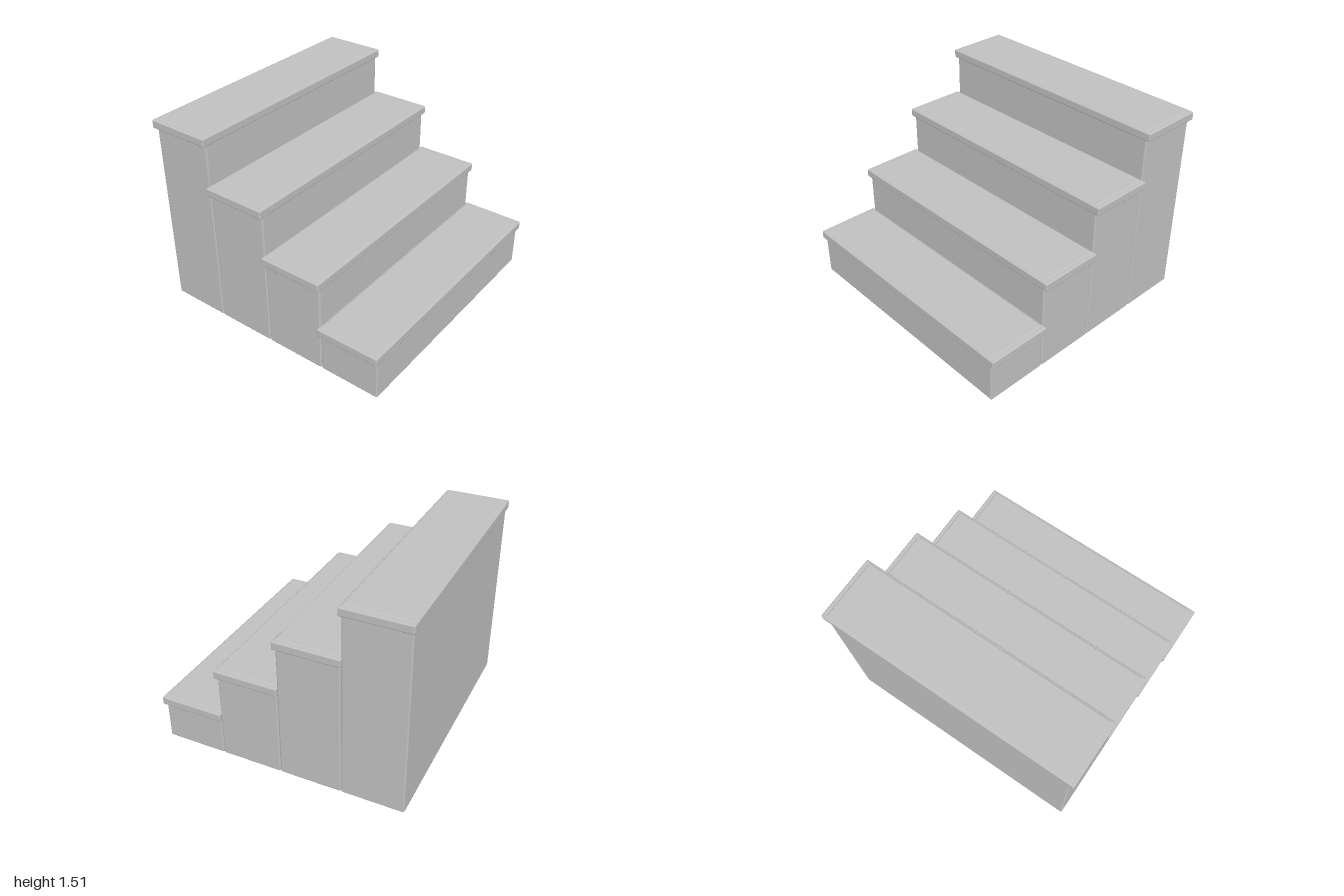
import * as THREE from 'three';
import { RoundedBoxGeometry } from 'three/addons/geometries/RoundedBoxGeometry.js';

const STEPS = 4;
const RISE = 0.378;    // height gained per step
const RUN = 0.474;     // depth gained per step
const LIP = 0.006;     // how far each block stands proud of its tread

export function createModel() {
  const group = new THREE.Group();
  group.name = 'staircase';
  const stone = new THREE.MeshStandardMaterial({ color: 0xc0c0c0 });
  stone.name = 'grey stone';

  // Box with softened edges, placed by its bottom and top height
  const block = (name, width, depth, bottom, top, z, radius) => {
    const geometry = new RoundedBoxGeometry(width, top - bottom, depth, 2, radius);
    const mesh = new THREE.Mesh(geometry, stone);
    mesh.name = name;
    mesh.position.set(0, (bottom + top) / 2, z);
    return mesh;
  };

  for (let i = 0; i < STEPS; i++) {
    const step = new THREE.Group();
    step.name = `step${i + 1}`;
    const top = RISE * (i + 1);
    const z = RUN * ((STEPS - 1) / 2 - i);
    // Full-height block whose top forms the slightly raised walking surface
    step.add(block('stepBlock', 1.938, 0.471, 0, top, z, 0.012));
    // Overhanging slab around the top of the block
    step.add(block('tread', 2, 0.496, top - 0.07, top - LIP, z, 0.01));
    group.add(step);
  }
  return group;
}
